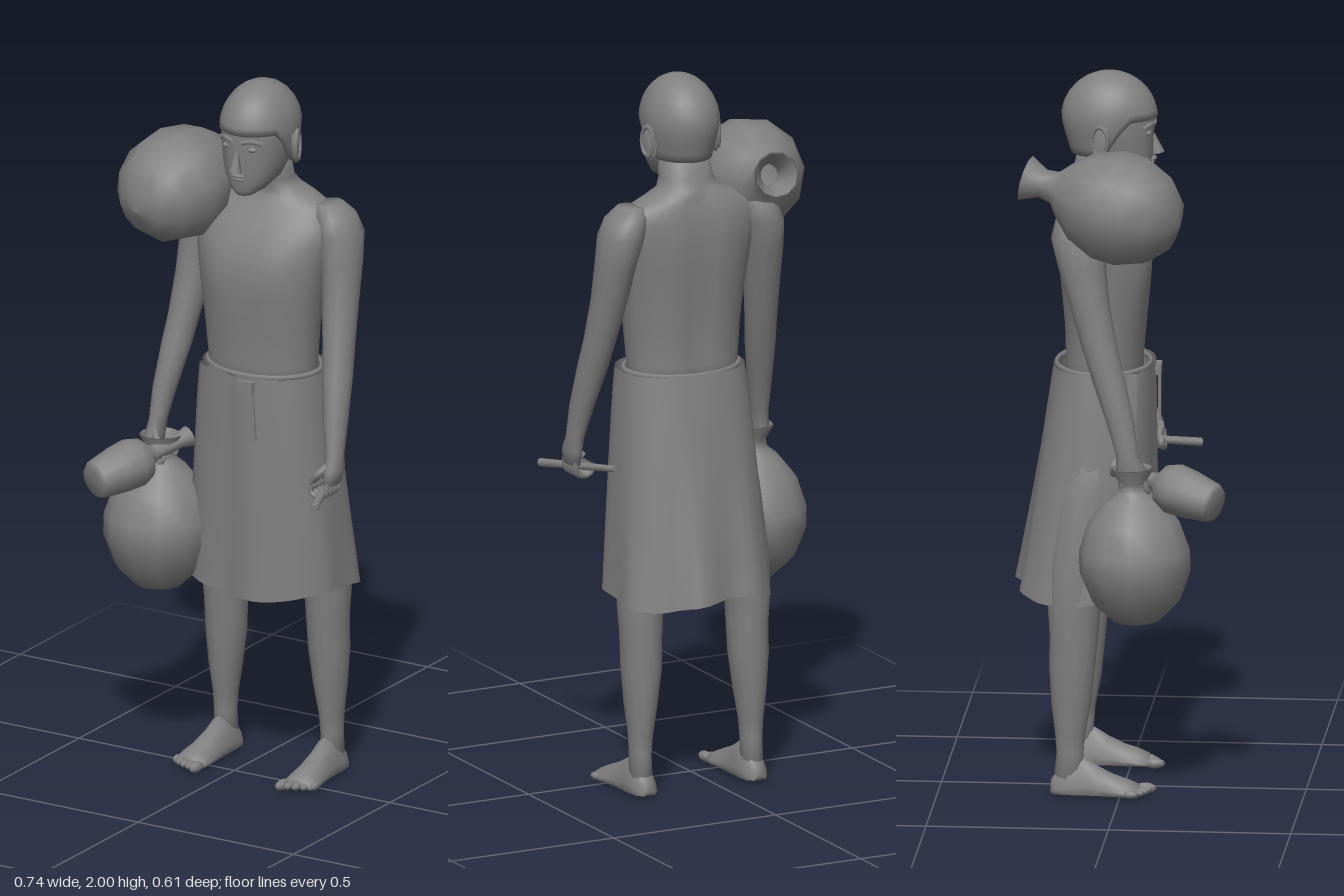
import * as THREE from 'three';

const grey = new THREE.MeshStandardMaterial({ color: 0x808080, side: THREE.DoubleSide });
grey.name = 'clay grey';

const V = (x, y, z) => new THREE.Vector3(x, y, z);
const soft = (v, p) => Math.sign(v) * Math.pow(Math.abs(v), p);

function add(parent, name, geometry, pos = [0, 0, 0], scale = [1, 1, 1], rot = [0, 0, 0]) {
  const m = new THREE.Mesh(geometry, grey);
  m.name = name;
  m.position.set(...pos);
  m.scale.set(...scale);
  m.rotation.set(...rot);
  parent.add(m);
  return m;
}

// Smooth skin over rows of points: fn(row, step) -> Vector3
function skin(fn, rows, steps, closed = true, caps = true) {
  const pos = [], idx = [], cols = closed ? steps : steps + 1;
  for (let j = 0; j < rows; j++)
    for (let i = 0; i < cols; i++) pos.push(...fn(j, i).toArray());
  for (let j = 0; j < rows - 1; j++)
    for (let i = 0; i < steps; i++) {
      const a = j * cols + i, b = j * cols + (i + 1) % cols;
      idx.push(a, b, b + cols, a, b + cols, a + cols);
    }
  if (closed && caps)
    for (const j of [0, rows - 1]) {
      const c = V(0, 0, 0), n = pos.length / 3;
      for (let i = 0; i < cols; i++) c.add(fn(j, i));
      pos.push(...c.divideScalar(cols).toArray());
      for (let i = 0; i < cols; i++) {
        const a = j * cols + i, b = j * cols + (i + 1) % cols;
        idx.push(...(j ? [a, b, n] : [b, a, n]));
      }
    }
  const g = new THREE.BufferGeometry();
  g.setAttribute('position', new THREE.Float32BufferAttribute(pos, 3));
  g.setIndex(idx);
  g.computeVertexNormals();
  return g;
}

// Horizontal oval rings, bottom to top: [x, y, z, halfWidth, halfDepth]
function loft(rings, steps = 14, power = 1, tweak = null) {
  return skin((j, i) => {
    const [x, y, z, rx, rz] = rings[j], a = i / steps * Math.PI * 2;
    const p = V(x + rx * soft(Math.sin(a), power), y, z + rz * soft(Math.cos(a), power));
    return tweak ? tweak(p, a) : p;
  }, rings.length, steps);
}

const tube = (pts, r, n = 6) =>
  new THREE.TubeGeometry(new THREE.CatmullRomCurve3(pts.map(p => V(...p))), n, r, 6);

// Lathed vessel whose axis points along dir
function vessel(parent, name, profile, pos, dir, sides = 12) {
  const m = add(parent, name, new THREE.LatheGeometry(profile.map(p => new THREE.Vector2(...p)), sides), pos);
  m.quaternion.setFromUnitVectors(V(0, 1, 0), V(...dir).normalize());
}

function buildHead(body) {
  const head = new THREE.Group();
  head.name = 'head';
  body.add(head);
  add(head, 'face', loft([
    [0, 1.695, .03, .022, .03], [0, 1.71, .018, .045, .05], [0, 1.74, -.012, .069, .085],
    [0, 1.78, -.025, .083, .102], [0, 1.83, -.038, .092, .116], [0, 1.87, -.04, .096, .12],
    [0, 1.92, -.04, .09, .115], [0, 1.97, -.04, .05, .07]], 20, .9));
  // Hair cap: high fringe in front, down to the nape behind
  add(head, 'hair', skin((j, i) => {
    const a = i / 24 * Math.PI * 2, back = THREE.MathUtils.smoothstep(-Math.cos(a), -.55, .2);
    const t = .02 + j / 10 * (1.5 + back * .9);
    const w = Math.sin(Math.min(t, 1.6)) - Math.max(0, t - 1.6) * .25;
    return V(.106 * w * Math.sin(a), 1.87 + .13 * Math.cos(t), -.044 + .133 * w * Math.cos(a));
  }, 11, 24));
  add(head, 'nose', new THREE.ConeGeometry(.021, .068, 6), [0, 1.805, .081], [.85, 1, .9], [-.22, 0, 0]);
  add(head, 'upperLip', new THREE.SphereGeometry(.024, 10, 6), [0, 1.757, .074], [1, .25, .5]);
  add(head, 'lowerLip', new THREE.SphereGeometry(.02, 10, 6), [0, 1.746, .07], [1, .3, .5]);
  add(head, 'chin', new THREE.SphereGeometry(.025, 10, 8), [0, 1.715, .045], [1, .7, .8]);
  for (const s of [-1, 1]) {
    add(head, 'eye', new THREE.SphereGeometry(.015, 10, 6), [s * .038, 1.836, .066], [1.1, .5, .6]);
    add(head, 'brow', tube([[s * .014, 1.855, .078], [s * .04, 1.861, .072], [s * .064, 1.852, .053]], .007));
    add(head, 'ear', new THREE.SphereGeometry(.05, 10, 8), [s * .1, 1.82, -.06], [.2, 1, .55], [.15, s * .35, 0]);
    add(head, 'earRim', new THREE.TorusGeometry(.036, .007, 5, 12), [s * .107, 1.825, -.062], [.65, 1.15, 1], [0, Math.PI / 2 + s * .3, 0]);
  }
}

function buildLimbs(body, s) {
  const side = s > 0 ? 'left' : 'right';
  const mirror = rings => rings.map(([x, ...r]) => [s * x, ...r]);
  add(body, side + 'Arm', loft(mirror([
    [.285, .91, .045, .018, .038], [.288, .95, .038, .024, .04], [.284, .99, .028, .024, .03],
    [.274, 1.08, .008, .033, .039], [.258, 1.2, -.027, .042, .046], [.248, 1.28, -.05, .044, .049],
    [.235, 1.4, -.08, .05, .056], [.227, 1.5, -.1, .055, .066], [.216, 1.58, -.11, .061, .077],
    [.2, 1.63, -.108, .056, .067], [.185, 1.66, -.105, .035, .045]])));
  // Fingers curl inwards around the grip
  for (let k = 0; k < 4; k++) {
    const z = .015 + k * .021;
    add(body, side + 'Finger', tube(mirror([[.288, .92, z], [.285, .888, z + .003], [.258, .876, z + .004],
      [.236, .892, z], [.243, .908, z]]), .0095, 8));
  }
  add(body, side + 'Thumb', tube(mirror([[.28, .965, .055], [.258, .938, .075], [.238, .918, .07]]), .011));
  add(body, side + 'Leg', loft(mirror([
    [.171, .05, -.142, .03, .04], [.171, .12, -.138, .03, .037], [.17, .17, -.138, .033, .041],
    [.168, .26, -.135, .045, .055], [.165, .36, -.133, .056, .063], [.164, .45, -.128, .057, .067],
    [.165, .53, -.127, .062, .073], [.155, .65, -.12, .07, .08], [.125, .85, -.09, .085, .095],
    [.09, 1.05, -.07, .085, .1]])));
  // Foot sections, heel to ball: [z, x, halfWidth, height]
  const foot = [[-.19, .17, .018, .035], [-.175, .17, .033, .06], [-.14, .17, .038, .09], [-.1, .17, .038, .1],
    [-.06, .171, .04, .075], [-.02, .173, .045, .055], [.02, .175, .05, .04], [.05, .174, .047, .026]];
  add(body, side + 'Foot', skin((j, i) => {
    const [z, x, w, h] = foot[j], a = -i / 14 * Math.PI * 2;
    return V(s * x + w * Math.sin(a), .008 + h * Math.max(0, Math.cos(a)), z);
  }, foot.length, 14));
  for (let k = 0; k < 5; k++)
    add(body, side + 'Toe', new THREE.SphereGeometry(k ? .0105 : .015, 8, 6),
      [s * (.138 + k * .0205), .016, .067 - k * k * .0022], [1, 1, 2]);
}

function buildSkirt(body) {
  // Wrapped cloth: one sheet that overlaps itself at the front
  const rows = 11, steps = 56, start = -.28, turn = Math.PI * 2 + .4;
  add(body, 'wrapSkirt', skin((j, i) => {
    const t = j / (rows - 1), d = 1 - t, f = i / steps, a = start - .4 + f * turn;
    const out = (1 - f) * .014 * (f < .1 ? 0 : 1) + (f > .9 ? .012 : 0);
    const c = Math.cos(a), back = Math.max(0, -c);
    const fold = d * d * (.009 * Math.sin(a * 7) + .006 * Math.sin(a * 11)) * (.35 + back);
    const rx = .172 + .05 * Math.pow(d, .8) + out + fold, rz = .13 + .05 * d + out + fold;
    return V(.004 + rx * soft(Math.sin(a), .85), 1.182 - d * (.632 + .012 * Math.sin(a * 3 + 1)),
      -.06 - .045 * d + rz * soft(c, .8));
  }, rows, steps, false));
  add(body, 'waistFold', new THREE.TorusGeometry(.165, .008, 6, 36), [.004, 1.18, -.06], [1, .78, 1], [Math.PI / 2, 0, 0]);
  add(body, 'beltKnot', new THREE.BoxGeometry(.048, .03, .02), [.033, 1.157, .086]);
  add(body, 'beltStrap', new THREE.BoxGeometry(.017, .15, .008), [.054, 1.08, .089], [1, 1, 1], [0, 0, .08]);
}

export function createModel() {
  const model = new THREE.Group();
  model.name = 'waterCarrier';
  const body = new THREE.Group();
  body.name = 'body';
  body.position.x = .057;
  model.add(body);

  // Torso with shallow chest swell and spine groove
  add(body, 'torso', loft([
    [0, 1.1, -.06, .16, .11], [0, 1.2, -.058, .16, .107], [0, 1.3, -.055, .168, .113],
    [0, 1.4, -.055, .18, .122], [0, 1.48, -.06, .192, .125], [0, 1.55, -.072, .205, .117],
    [0, 1.61, -.087, .212, .1], [0, 1.65, -.097, .185, .083], [0, 1.675, -.1, .135, .072],
    [0, 1.695, -.095, .09, .066], [0, 1.72, -.08, .075, .064], [0, 1.8, -.065, .07, .062]], 32, .9, (p, a) => {
    const lift = Math.exp(-Math.pow((p.y - 1.49) / .07, 2));
    if (Math.cos(a) > 0) p.z += .012 * lift * Math.exp(-Math.pow((Math.abs(p.x) - .085) / .05, 2));
    else if (p.y < 1.68) p.z += .014 * Math.exp(-Math.pow(p.x / .03, 2));
    return p;
  }));
  buildHead(body);
  for (const s of [-1, 1]) buildLimbs(body, s);
  buildSkirt(body);

  // Stick in the left hand
  const stick = add(model, 'stick', new THREE.CylinderGeometry(.012, .009, .285, 8), [.322, .898, .048]);
  stick.quaternion.setFromUnitVectors(V(0, 1, 0), V(.09, -.035, .265).normalize());

  // Large jar on the right shoulder, mouth to the rear
  vessel(model, 'shoulderJar', [[0, -.17], [.07, -.155], [.125, -.105], [.155, -.03], [.155, .035], [.125, .115],
    [.075, .17], [.045, .195], [.04, .23], [.064, .28], [.058, .283], [.032, .235], [.03, .19]],
    [-.18, 1.67, .01], [.05, .07, -.27], 11);
  // Round jar hanging from the right hand
  vessel(model, 'handJar', [[0, -.175], [.065, -.168], [.12, -.115], [.153, -.03], [.152, .03], [.125, .11],
    [.075, .17], [.042, .195], [.038, .22], [.06, .258], [.054, .261], [.03, .22], [.028, .19]],
    [-.212, .69, .048], [0, 1, -.03], 12);
  // Small flask held beside it
  vessel(model, 'flask', [[0, 0], [.045, .002], [.055, .015], [.067, .09], [.07, .14], [.058, .172], [.03, .19],
    [.022, .21], [.021, .29], [.03, .325], [.024, .326], [.016, .29]],
    [-.283, .868, .28], [.13, .07, -.29], 12);
  return model;
}
